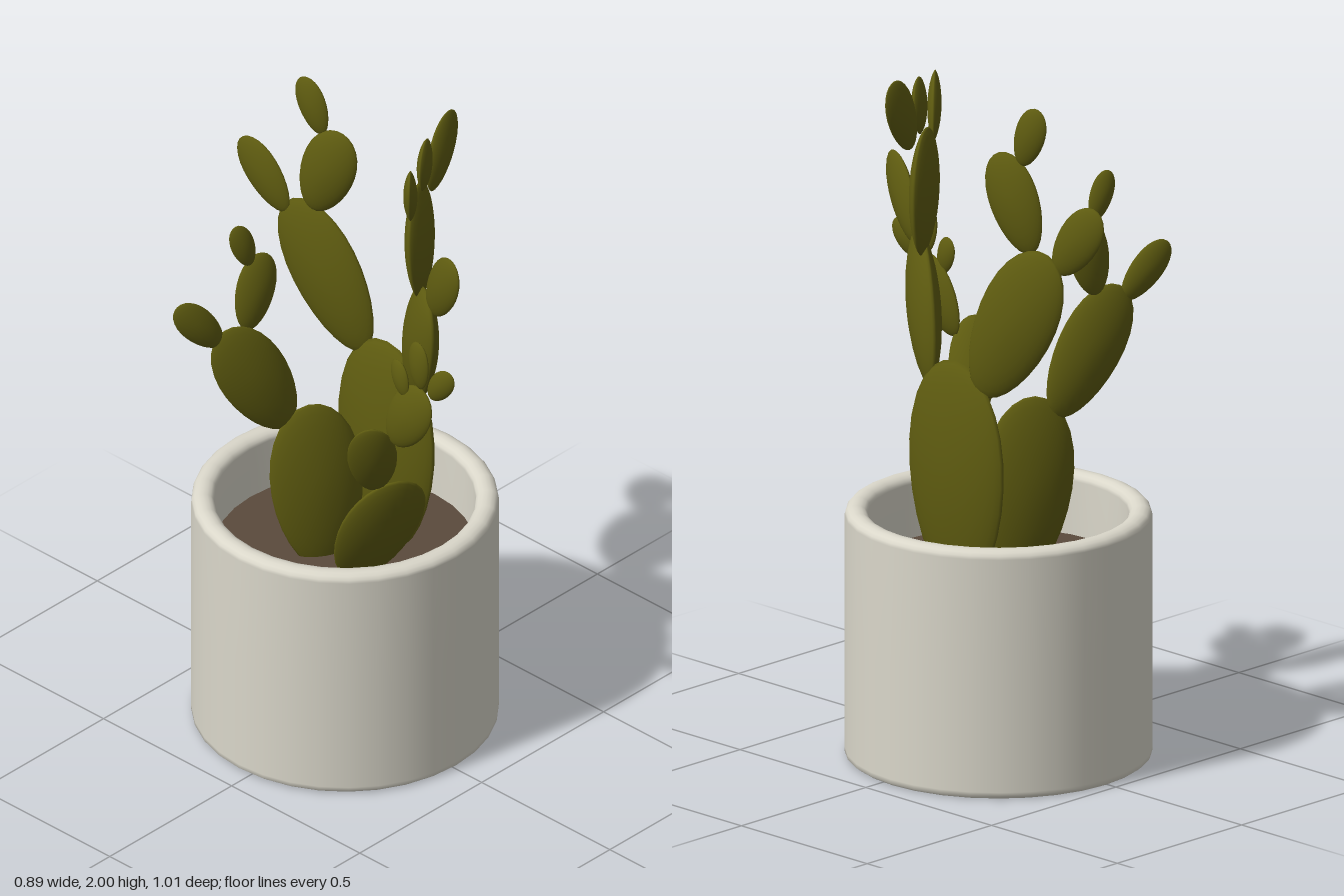
import * as THREE from 'three';
import { mergeVertices } from 'three/addons/utils/BufferGeometryUtils.js';

const potMat = new THREE.MeshStandardMaterial({ color: 0xdad7ca });
potMat.name = 'ceramic';
const soilMat = new THREE.MeshStandardMaterial({ color: 0x5a4a3c });
soilMat.name = 'soil';
const padMat = new THREE.MeshStandardMaterial({ color: 0x5f5c10 });
padMat.name = 'cactusGreen';

// Lens-shaped, slightly egg-shaped unit pad: y up, face along z
function makePadGeometry() {
  let geo = new THREE.SphereGeometry(1, 28, 14).rotateX(Math.PI / 2);
  geo.deleteAttribute('uv');
  geo.deleteAttribute('normal');
  geo = mergeVertices(geo, 1e-4);
  const p = geo.attributes.position;
  for (let i = 0; i < p.count; i++) {
    const x = p.getX(i), y = p.getY(i), z = p.getZ(i);
    p.setXYZ(i, x * (1 + 0.12 * y), y, Math.sign(z) * Math.pow(Math.abs(z), 1.4));
  }
  geo.computeVertexNormals();
  return geo;
}

// Stretch a pad from base to top; n = horizontal facing direction [x, z]
function makePad(geo, base, top, halfWidth, halfThick, n) {
  const a = new THREE.Vector3(...base), b = new THREE.Vector3(...top);
  const up = b.clone().sub(a);
  const half = up.length() / 2;
  up.normalize();
  const normal = new THREE.Vector3(n[0], 0, n[1]);
  normal.addScaledVector(up, -normal.dot(up)).normalize();
  const side = up.clone().cross(normal);
  const mesh = new THREE.Mesh(geo, padMat);
  mesh.quaternion.setFromRotationMatrix(new THREE.Matrix4().makeBasis(side, up, normal));
  mesh.scale.set(halfWidth, half, halfThick);
  mesh.position.copy(a.add(b).multiplyScalar(0.5));
  return mesh;
}

// Each pad: base, top, half width, half thickness, facing
const branches = {
  mainPad: [
    [[0.14, 0.5, -0.01], [0.15, 1.19, -0.01], 0.185, 0.056, [1, 0]],
  ],
  frontTallBranch: [
    [[0.13, 1.08, 0.11], [0.05, 1.51, 0.24], 0.11, 0.045, [0.86, 0.5]],
    [[0.05, 1.46, 0.25], [0.01, 1.695, 0.385], 0.065, 0.024, [0.95, 0.25]],
    [[0.1, 1.45, 0.17], [0.093, 1.83, 0.163], 0.1, 0.036, [0.45, 0.9]],
    [[0.147, 1.78, 0.165], [0.25, 2.0, 0.145], 0.06, 0.022, [0.12, 1]],
    [[0.103, 1.81, 0.175], [0.107, 1.98, 0.18], 0.046, 0.02, [0.45, 0.9]],
    [[0.025, 1.765, 0.2], [-0.03, 1.955, 0.248], 0.048, 0.02, [0.65, 0.76]],
  ],
  backTallBranch: [
    [[0.15, 1.11, -0.11], [0.095, 1.56, -0.325], 0.122, 0.042, [0.97, -0.25]],
    [[0.1, 1.55, -0.26], [0.125, 1.837, -0.16], 0.083, 0.032, [0.97, -0.25]],
    [[0.083, 1.51, -0.345], [0.057, 1.715, -0.485], 0.065, 0.023, [0.98, -0.17]],
    [[0.11, 1.81, -0.23], [0.1, 1.985, -0.29], 0.049, 0.02, [0.97, -0.2]],
  ],
  sideBranch: [
    [[-0.05, 0.5, -0.06], [-0.085, 1.05, -0.095], 0.135, 0.045, [0.5, -0.86]],
    [[-0.135, 0.985, -0.13], [-0.31, 1.355, -0.21], 0.1, 0.036, [0.45, -0.9]],
    [[-0.32, 1.31, -0.215], [-0.44, 1.47, -0.27], 0.05, 0.02, [0.4, -0.9]],
    [[-0.24, 1.335, -0.185], [-0.19, 1.58, -0.175], 0.06, 0.025, [0.45, -0.9]],
    [[-0.235, 1.555, -0.18], [-0.278, 1.7, -0.195], 0.035, 0.016, [0.45, -0.9]],
  ],
  frontLowBranch: [
    [[-0.03, 0.5, 0.04], [-0.06, 0.928, 0.235], 0.125, 0.045, [0.4, -0.9]],
    [[-0.11, 0.9, 0.185], [-0.205, 1.185, 0.262], 0.07, 0.028, [0.7, -0.7]],
    [[-0.148, 1.13, 0.285], [-0.145, 1.35, 0.42], 0.074, 0.026, [0.99, 0.1]],
    [[-0.138, 1.335, 0.432], [-0.123, 1.44, 0.495], 0.036, 0.015, [0.97, -0.2]],
    [[-0.145, 1.355, 0.395], [-0.145, 1.51, 0.39], 0.041, 0.017, [0.99, 0.1]],
    [[-0.15, 1.305, 0.34], [-0.145, 1.415, 0.305], 0.035, 0.015, [0.99, 0.1]],
  ],
};

export function createModel() {
  const model = new THREE.Group();
  const cx = 0.007, cz = -0.04;

  // Pot: outer wall, rounded rim and inner wall in one profile
  const R = 0.435, r = 0.37, H = 0.735, mid = (R + r) / 2, w = (R - r) / 2;
  const profile = [[0.425, 0], [R, 0.008], [R, 0.02], [R, 0.36]];
  for (let i = 0; i <= 8; i++) {
    const t = (i / 8) * Math.PI;
    profile.push([mid + w * Math.cos(t), H - 0.025 + 0.025 * Math.sin(t)]);
  }
  profile.push([r, 0.5]);
  const pot = new THREE.Mesh(
    new THREE.LatheGeometry(profile.map(([x, y]) => new THREE.Vector2(x, y)), 32), potMat);
  pot.name = 'pot';
  pot.position.set(cx, 0, cz);
  model.add(pot);

  // Flat underside
  const base = new THREE.Mesh(new THREE.CircleGeometry(0.425, 32).rotateX(Math.PI / 2), potMat);
  base.name = 'potBase';
  base.position.set(cx, 0, cz);
  model.add(base);

  // Soil
  const soil = new THREE.Mesh(new THREE.CircleGeometry(0.372, 32).rotateX(-Math.PI / 2), soilMat);
  soil.name = 'soil';
  soil.position.set(cx, 0.55, cz);
  model.add(soil);

  // Cactus pads
  const padGeo = makePadGeometry();
  for (const [name, pads] of Object.entries(branches)) {
    const branch = new THREE.Group();
    branch.name = name;
    pads.forEach((p, i) => {
      const pad = makePad(padGeo, ...p);
      pad.name = `pad${i + 1}`;
      branch.add(pad);
    });
    model.add(branch);
  }
  return model;
}
